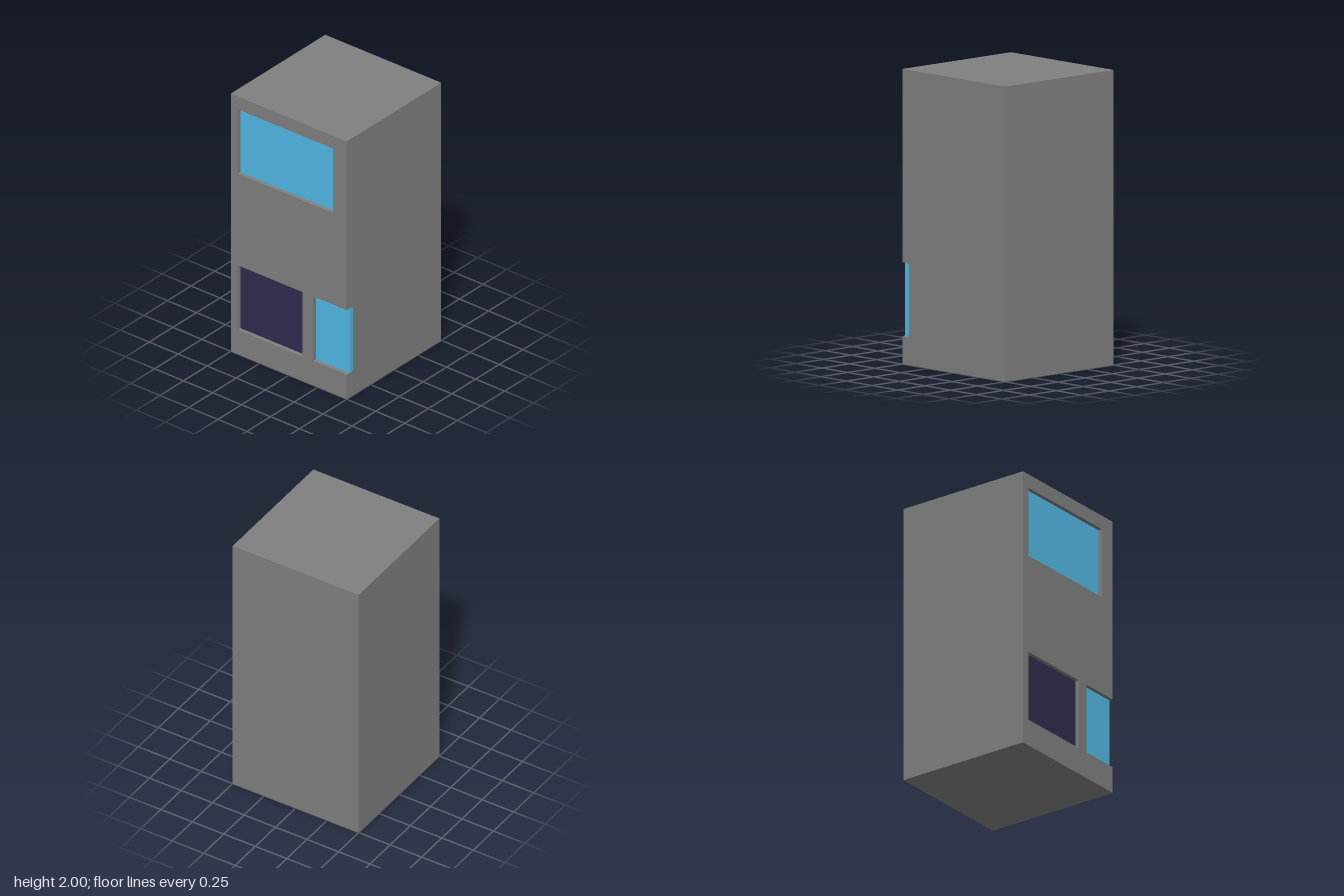
import * as THREE from 'three';

const concrete = new THREE.MeshStandardMaterial({ name: 'concreteGrey', color: 0x808080 });
const glass = new THREE.MeshStandardMaterial({ name: 'glassBlue', color: 0x53b9e6 });
const doorPaint = new THREE.MeshStandardMaterial({ name: 'doorNavy', color: 0x332c50 });

const RECESS = 0.03, WALL = -0.5 + RECESS, LOW = 0.19, HIGH = 0.69;

// Closed path from [u, v] pairs
const trace = (Kind, points) => new Kind(points.map(([u, v]) => new THREE.Vector2(u, v)));
const rectangle = ([z0, z1, y0, y1]) => [[z0, y0], [z1, y0], [z1, y1], [z0, y1]];

export function createModel() {
  const group = new THREE.Group();
  const add = (name, geometry, material, x = 0, y = 0, z = 0) => {
    const mesh = new THREE.Mesh(geometry, material);
    mesh.name = name;
    mesh.position.set(x, y, z);
    group.add(mesh);
  };

  // Openings on the -x side: z from, z to, y from, y to
  const upper = [-0.44, 0.38, 1.4, 1.9];
  const door = [-0.44, 0.12, LOW, HIGH];
  const corner = [0.21, 0.5, LOW, HIGH];

  // Solid block behind the pierced wall
  add('towerBlock', new THREE.BoxGeometry(0.5 - WALL, 2, 1), concrete, (0.5 + WALL) / 2, 1);

  // Pierced wall, notched where the corner window meets the front
  const wall = trace(THREE.Shape, [
    [-0.5, 0], [0.5, 0], [0.5, LOW], [corner[0], LOW],
    [corner[0], HIGH], [0.5, HIGH], [0.5, 2], [-0.5, 2],
  ]);
  wall.holes = [upper, door].map((o) => trace(THREE.Path, rectangle(o).reverse()));
  const wallGeometry = new THREE.ExtrudeGeometry(wall, { depth: RECESS, bevelEnabled: false });
  wallGeometry.rotateY(-Math.PI / 2);
  add('piercedWall', wallGeometry, concrete, WALL);

  // Thin panels set into the openings
  const panel = (name, [z0, z1, y0, y1], material) =>
    add(name, new THREE.BoxGeometry(0.002, y1 - y0, z1 - z0), material, WALL - 0.001, (y0 + y1) / 2, (z0 + z1) / 2);
  panel('upperWindow', upper, glass);
  panel('doorPanel', door, doorPaint);
  panel('cornerWindow', corner, glass);

  // Edge of the corner window showing on the front
  const edge = trace(THREE.Shape, [
    [WALL, LOW], [-0.447, LOW], [-0.435, LOW + 0.015],
    [-0.435, HIGH - 0.015], [-0.447, HIGH], [WALL, HIGH],
  ]);
  add('cornerWindowEdge', new THREE.ExtrudeGeometry(edge, { depth: 0.002, bevelEnabled: false }), glass, 0, 0, 0.4995);

  return group;
}
